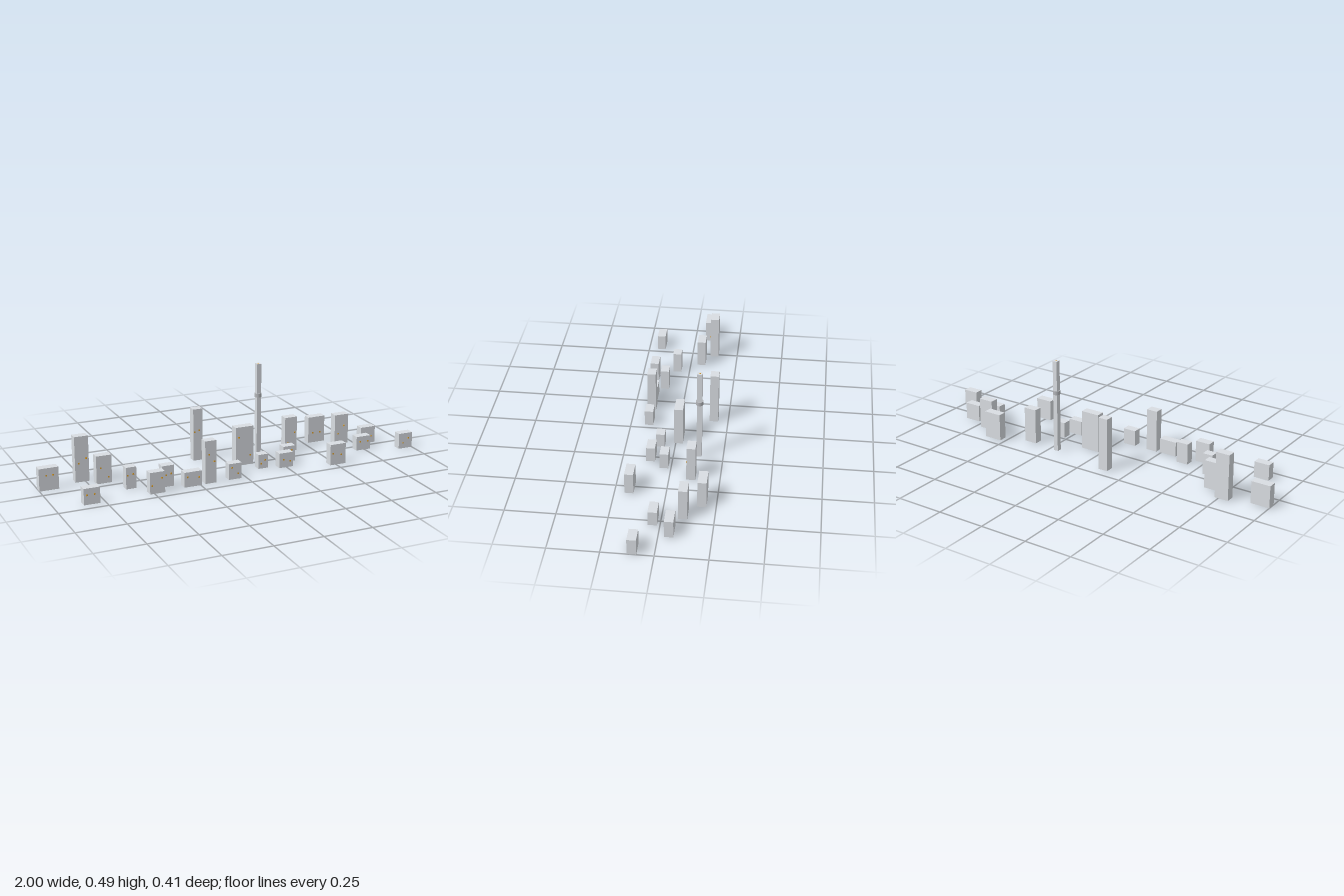
import * as THREE from 'three';

function material(name, color) {
  const m = new THREE.MeshStandardMaterial({ color });
  m.name = name;
  return m;
}
const paleGrey = material('pale concrete grey', 0xd9dde2);
const midGrey = material('deck grey', 0xb4b6ba);
const amber = material('lit window amber', 0xffb733);

const DEPTH = 0.044;

// centre x, centre z, width, height
const BUILDINGS = [
  [-0.95, -0.08, 0.1, 0.115],
  [-0.818, 0.181, 0.082, 0.083],
  [-0.766, -0.123, 0.072, 0.238],
  [-0.674, -0.059, 0.08, 0.145],
  [-0.578, 0.067, 0.054, 0.112],
  [-0.484, 0.179, 0.078, 0.11],
  [-0.404, 0.115, 0.062, 0.11],
  [-0.29, 0.163, 0.094, 0.077],
  [-0.194, 0.159, 0.059, 0.222],
  [-0.12, -0.176, 0.051, 0.278],
  [-0.06, 0.156, 0.069, 0.083],
  [0.07, -0.014, 0.099, 0.205],
  [0.134, 0.074, 0.053, 0.075],
  [0.248, 0.108, 0.077, 0.078],
  [0.302, 0.035, 0.069, 0.083],
  [0.383, -0.107, 0.069, 0.186],
  [0.51, 0.179, 0.088, 0.11],
  [0.574, -0.181, 0.096, 0.142],
  [0.683, -0.1, 0.08, 0.163],
  [0.742, 0.036, 0.082, 0.075],
  [0.818, -0.05, 0.086, 0.09],
  [0.96, 0.104, 0.08, 0.083],
];

// Small seeded generator for scattering the lit windows
function seeded(seed) {
  let s = seed;
  return () => (s = (s * 16807) % 2147483647) / 2147483647;
}

function add(parent, name, geometry, mat, x, y, z) {
  const mesh = new THREE.Mesh(geometry, mat);
  mesh.name = name;
  mesh.position.set(x, y, z);
  parent.add(mesh);
}

export function createModel() {
  const skyline = new THREE.Group();
  skyline.name = 'skyline';

  // Blocks, each with two lit windows on the front
  const random = seeded(4127);
  const pane = new THREE.BoxGeometry(0.008, 0.008, 0.002);
  BUILDINGS.forEach(([x, z, width, height], i) => {
    const building = new THREE.Group();
    building.name = `building${i + 1}`;
    building.position.set(x, 0, z);
    add(building, 'block', new THREE.BoxGeometry(width, height, DEPTH), paleGrey, 0, height / 2, 0);
    for (const side of [-1, 1]) {
      const wx = side * width * (0.12 + 0.25 * random());
      const wy = 0.025 + (height * 0.75 - 0.025) * random();
      add(building, 'litWindow', pane, amber, wx, wy, DEPTH / 2 + 0.0005);
    }
    skyline.add(building);
  });

  // Slim tower with a round observation deck and a beacon on top
  const tower = new THREE.Group();
  tower.name = 'tower';
  tower.position.set(0.21, 0, -0.129);
  add(tower, 'shaft', new THREE.BoxGeometry(0.024, 0.489, 0.026), paleGrey, 0, 0.2445, 0);
  add(tower, 'observationDeck', new THREE.CylinderGeometry(0.019, 0.019, 0.02, 24), midGrey, 0, 0.32, 0);
  add(tower, 'beacon', new THREE.CylinderGeometry(0.004, 0.004, 0.002, 12), amber, 0, 0.489, 0);
  skyline.add(tower);

  return skyline;
}
